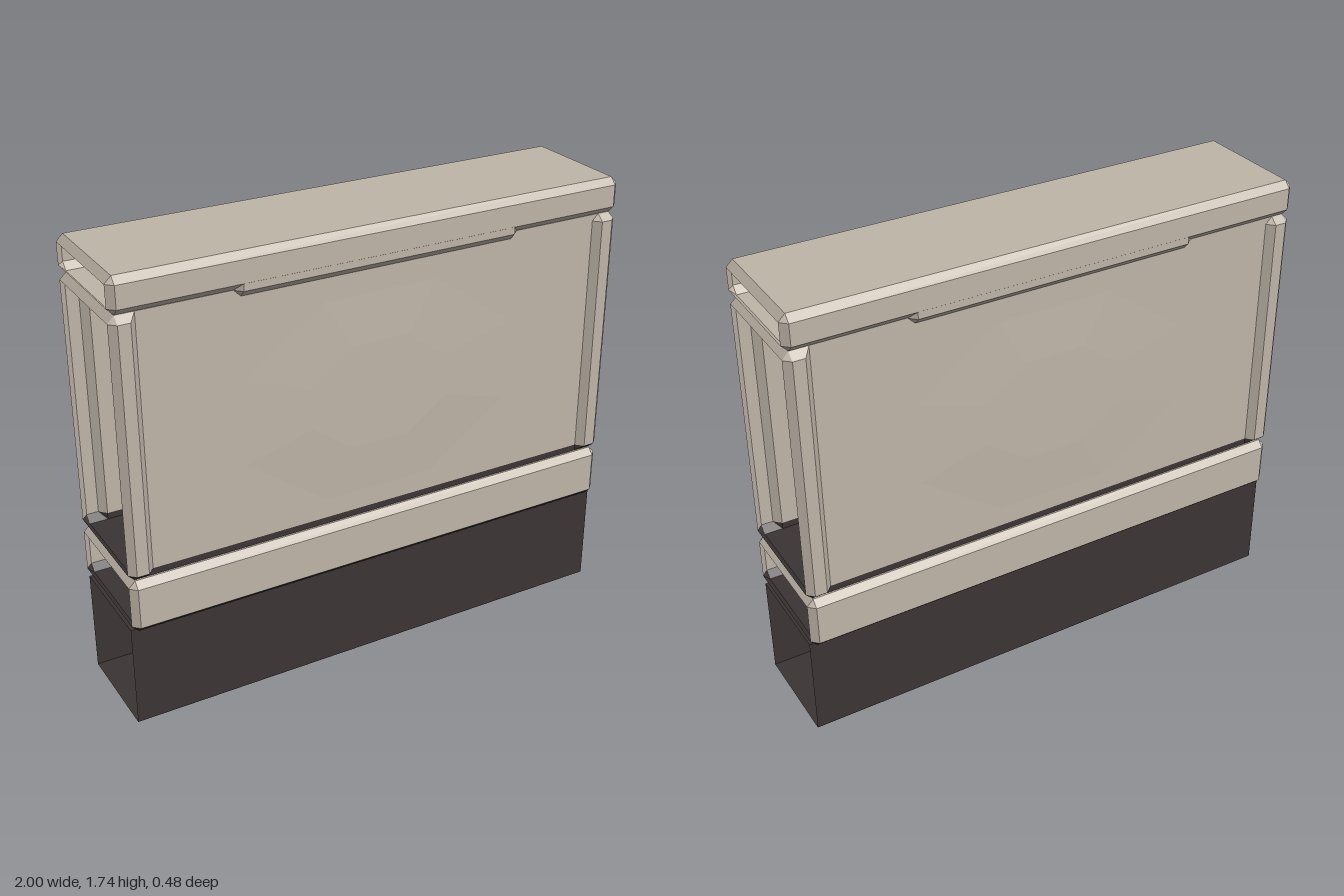
import * as THREE from 'three';

const stone = new THREE.MeshStandardMaterial({ color: 0xbfb5a8, side: THREE.DoubleSide });
stone.name = 'stone';
const dark = new THREE.MeshStandardMaterial({ color: 0x3b3434, side: THREE.DoubleSide });
dark.name = 'darkPlinth';

const C = 0.025; // chamfer size

// Cross-section at x: front going up, top going back, back down, bottom forward
function ring(x, y0, y1, hz, zi, c) {
  return [
    [hz, y0 + c], [hz, y1 - c], [zi, y1], [-zi, y1],
    [-hz, y1 - c], [-hz, y0 + c], [-zi, y0], [zi, y0],
  ].map(([z, y]) => new THREE.Vector3(x, y, z));
}

// Joins cross-sections along x; the ends stay open. The underside is its own group.
function shell(name, rings, sideMat, underMat) {
  const sides = [], under = [];
  for (let i = 0; i < rings.length - 1; i++) {
    for (let j = 0; j < 8; j++) {
      const k = (j + 1) % 8;
      const [a, b, c, d] = [rings[i][j], rings[i + 1][j], rings[i + 1][k], rings[i][k]];
      for (const t of [[a, b, c], [a, c, d]]) {
        if (new THREE.Triangle(...t).getArea() > 1e-7) (j >= 5 ? under : sides).push(...t);
      }
    }
  }
  const geo = new THREE.BufferGeometry().setFromPoints([...sides, ...under]);
  geo.addGroup(0, sides.length, 0);
  geo.addGroup(sides.length, under.length, 1);
  geo.computeVertexNormals();
  const mesh = new THREE.Mesh(geo, [sideMat, underMat]);
  mesh.name = name;
  return mesh;
}

// Chamfered block with open ends
function block(name, hx, y0, y1, hz, underMat) {
  const end = (s) => ring(s * hx, y0 + C, y1 - C, hz - C, hz - C, 0);
  const full = (s) => ring(s * (hx - C), y0, y1, hz, hz - C, C);
  return shell(name, [end(-1), full(-1), full(1), end(1)], stone, underMat);
}

export function createModel() {
  const group = new THREE.Group();

  // Plinth: plain dark box, open at both ends
  group.add(shell('plinth', [-1, 1].map((x) => ring(x, 0, 0.401, 0.2, 0.2, 0)), dark, dark));

  // Lower trim with dark underside
  group.add(block('lowerTrim', 1, 0.402, 0.61, 0.24, dark));

  // Wall: recessed panel between chamfered end posts
  const y0 = 0.613, y1 = 1.6, panelZ = 0.212;
  const post = (x) => ring(x, y0, y1, 0.24, panelZ, C);
  const panel = (x) => ring(x, y0, y1, panelZ, panelZ, C);
  const tip = (x) => ring(x, y0 + C, y1 - C, 0.215, 0.215, 0);
  group.add(shell('wall', [
    tip(-1), post(-0.975), post(-0.93), panel(-0.905),
    panel(0.905), post(0.93), post(0.975), tip(1),
  ], stone, dark));

  // Very shallow faceted swelling in the middle of both panels
  const swell = new THREE.CylinderGeometry(0.3, 0.58, 0.006, 8, 1, true).toNonIndexed();
  swell.rotateX(Math.PI / 2).rotateZ(Math.PI / 8).scale(1, 0.72, 1);
  swell.computeVertexNormals();
  const middle = new THREE.CircleGeometry(0.3, 8, Math.PI / 8 + Math.PI / 2);
  middle.scale(1, 0.72, 1).translate(0, 0, 0.003);
  for (const turn of [0, Math.PI]) {
    const bulge = new THREE.Group();
    bulge.name = turn ? 'backPanelSwelling' : 'frontPanelSwelling';
    bulge.add(new THREE.Mesh(swell, stone), new THREE.Mesh(middle, stone));
    bulge.position.set(0, 1.1, (turn ? -1 : 1) * (panelZ + 0.003));
    bulge.rotation.y = turn;
    group.add(bulge);
  }

  // Coping with a lower centre tab
  group.add(block('coping', 1, 1.602, 1.735, 0.24, stone));
  group.add(block('copingTab', 0.56, 1.575, 1.69, 0.2395, stone));

  // Inner partition closing the hollow halfway along
  for (const [name, a, b, hz, mat] of [
    ['plinthPartition', 0.002, 0.4, 0.2, dark],
    ['trimPartition', 0.404, 0.609, 0.2, stone],
    ['wallPartition', 0.615, 1.599, 0.21, stone],
    ['copingPartition', 1.604, 1.733, 0.214, stone],
  ]) {
    const p = new THREE.Mesh(new THREE.BoxGeometry(0.008, b - a, 2 * hz), mat);
    p.name = name;
    p.position.y = (a + b) / 2;
    group.add(p);
  }
  return group;
}
